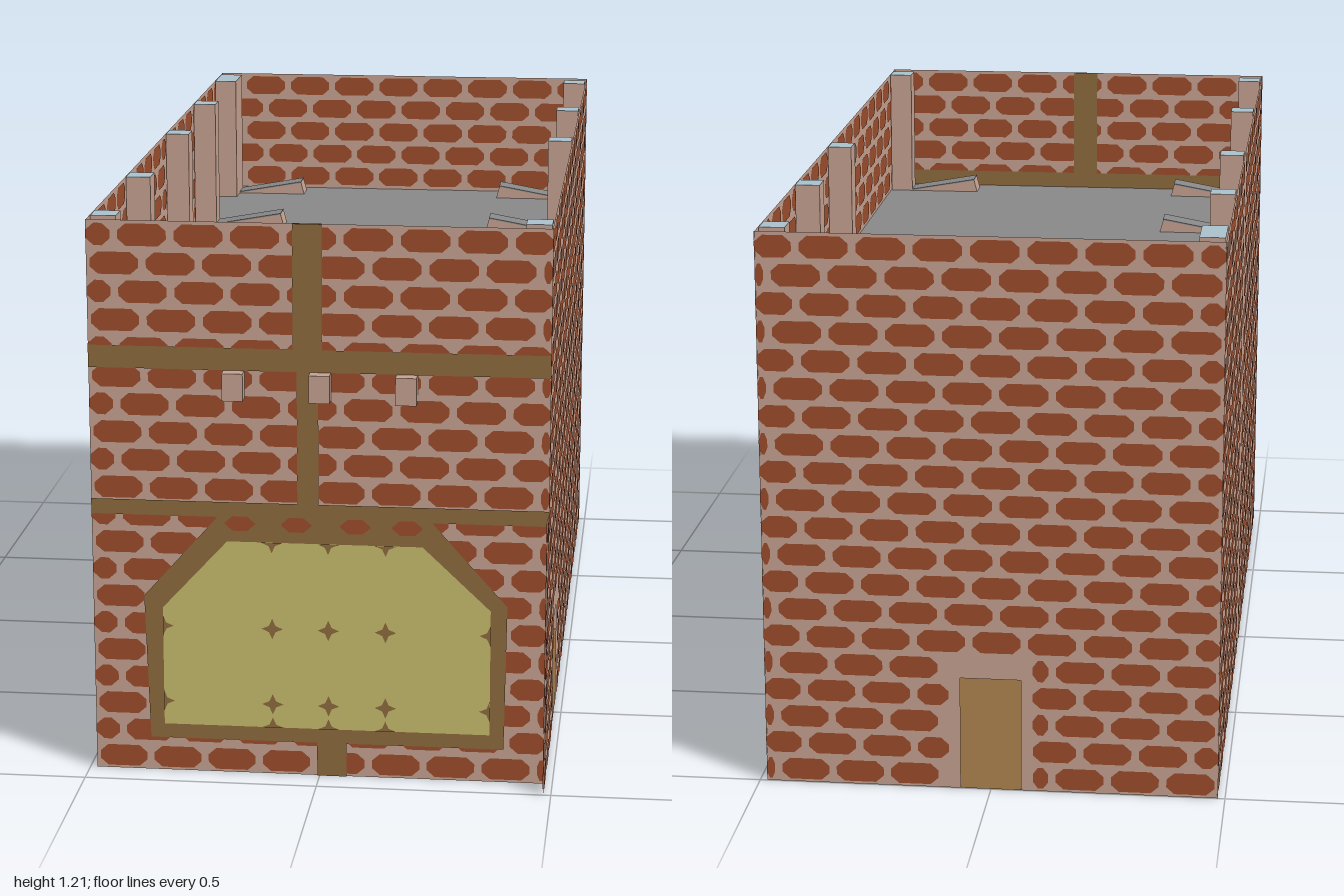
import * as THREE from 'three';
import { mergeGeometries } from 'three/addons/utils/BufferGeometryUtils.js';

const H = 1.21, X = 0.485, ZB = -1, ZF = 0.935;

function mat(name, color) {
  const m = new THREE.MeshStandardMaterial({ color, side: THREE.DoubleSide });
  m.name = name;
  return m;
}

const poly = pts => new THREE.Shape(pts.map(p => new THREE.Vector2(p[0], p[1])));
const rect = (u0, u1, v0, v1) => poly([[u0, v0], [u1, v0], [u1, v1], [u0, v1]]);

// Octagonal brick outline
function brick(u0, u1, v0, v1) {
  const c = Math.min(0.017, (u1 - u0) / 3), d = 0.015;
  return poly([[u0 + c, v0], [u1 - c, v0], [u1, v0 + d], [u1, v1 - d],
    [u1 - c, v1], [u0 + c, v1], [u0, v1 - d], [u0, v0 + d]]);
}

// Rows of bricks in running bond, trimmed around the gaps [u0, u1, v0, v1]
function brickShapes(uMin, uMax, gaps) {
  const shapes = [], rows = 20, ph = H / rows, pw = 0.118;
  for (let r = 0; r < rows; r++) {
    const v0 = r * ph + 0.006, v1 = (r + 1) * ph - 0.007;
    for (let u = uMin - (r % 2) * pw / 2; u < uMax; u += pw) {
      let parts = [[Math.max(u + 0.008, uMin), Math.min(u + pw - 0.008, uMax)]];
      for (const [g0, g1, h0, h1] of gaps) {
        if (v1 <= h0 || v0 >= h1) continue;
        parts = parts.flatMap(([a, b]) => (b <= g0 || a >= g1) ? [[a, b]] : [[a, g0], [g1, b]]);
      }
      for (const [a, b] of parts) if (b - a > 0.012) shapes.push(brick(a, b, v0, v1));
    }
  }
  return shapes;
}

export function createModel() {
  const model = new THREE.Group();
  model.name = 'brickBuilding';
  const M = {
    brick: mat('brick red', 0x9c4d2c),
    mortar: mat('mortar pink', 0xc4a190),
    brown: mat('timber brown', 0x8d6a3e),
    yellow: mat('door yellow', 0xc7bb6c),
    grey: mat('roof grey', 0x888888),
    blue: mat('cap blue', 0xa9c0cc),
  };

  const add = (parent, name, geometry, material) => {
    const mesh = new THREE.Mesh(geometry, material);
    mesh.name = name;
    parent.add(mesh);
    return mesh;
  };
  const box = (name, x0, x1, y0, y1, z0, z1, material) => {
    const g = new THREE.BoxGeometry(x1 - x0, y1 - y0, z1 - z0);
    g.translate((x0 + x1) / 2, (y0 + y1) / 2, (z0 + z1) / 2);
    return add(model, name, g, material);
  };
  // Flat shapes painted on both faces of a wall
  const paint = (parent, name, shapes, offset, material) => {
    const g = new THREE.ShapeGeometry(shapes);
    add(parent, name, mergeGeometries([g.clone().translate(0, 0, offset), g.translate(0, 0, -offset)]), material);
  };
  const wall = (name, outline, uMin, uMax, gaps) => {
    const group = new THREE.Group();
    group.name = name;
    add(group, name + 'Mortar', new THREE.ShapeGeometry(outline), M.mortar);
    paint(group, name + 'Bricks', brickShapes(uMin, uMax, gaps), 0.0015, M.brick);
    model.add(group);
    return group;
  };

  // Right-hand and left-hand long walls; one has a doorway and a low forward return
  const east = wall('leftWall', poly([[ZB, 0], [0.455, 0], [0.455, 0.25], [0.582, 0.25], [0.582, 0],
    [1, 0], [1, 0.605], [ZF, 0.605], [ZF, H], [ZB, H]]), ZB, 1,
    [[0.425, 0.61, 0, 0.27], [ZF, 1.01, 0.6, H]]);
  east.rotation.y = -Math.PI / 2;
  east.position.x = X - 0.0015;
  const west = wall('rightWall', rect(ZB, ZF, 0, H), ZB, ZF, [[-0.118, -0.067, 0, H]]);
  west.rotation.y = -Math.PI / 2;
  west.position.x = -X + 0.0015;

  // Back wall with doorway
  const back = wall('backWall', poly([[-X, 0], [-0.065, 0], [-0.065, 0.25], [0.065, 0.25], [0.065, 0],
    [X, 0], [X, H], [-X, H]]), -X, X, [[-0.09, 0.09, 0, 0.27]]);
  back.position.z = ZB + 0.0015;

  // Front wall with timber bands and the large door
  const front = wall('frontWall', rect(-X, X, 0, H), -X, X, []);
  front.position.z = ZF;
  paint(front, 'timberBands', [rect(-X, X, 0.895, 0.943), rect(-X, X, 0.575, 0.608),
    rect(-0.053, 0.008, 0.943, H), rect(-0.045, 0, 0.608, 0.895), rect(-0.005, 0.058, 0, 0.076)], 0.003, M.brown);
  paint(front, 'doorFrame', [poly([[-0.365, 0.075], [0.395, 0.075], [0.4, 0.395], [0.24, 0.575],
    [-0.215, 0.575], [-0.375, 0.395]])], 0.003, M.brown);
  paint(front, 'doorPanel', [poly([[-0.335, 0.107], [0.365, 0.107], [0.365, 0.385], [0.22, 0.522],
    [-0.195, 0.522], [-0.335, 0.37]])], 0.0045, M.yellow);
  paint(front, 'lintelBricks', [-0.165, -0.045, 0.08, 0.19].map(x => brick(x - 0.035, x + 0.03, 0.546, 0.578)),
    0.0045, M.brick);

  // Four-pointed studs, with half studs along the panel edge
  const studs = [];
  const stud = (x, y, half) => {
    const s = 0.023, t = 0.007;
    const pts = [[s, 0], [t, t], [0, s], [-t, t], [-s, 0], [-t, -t], [0, -s], [t, -t]];
    const keep = { left: p => p[0] >= 0, right: p => p[0] <= 0, top: p => p[1] <= 0, bottom: p => p[1] >= 0 }[half];
    studs.push(poly(pts.map(([a, b]) => keep && !keep([a, b])
      ? (half === 'left' || half === 'right' ? [x, y + b] : [x + a, y]) : [x + a, y + b])));
  };
  for (const y of [0.16, 0.33]) {
    for (const x of [-0.1, 0.02, 0.142]) stud(x, y);
    stud(-0.335, y, 'left');
    stud(0.365, y, 'right');
  }
  for (const x of [-0.1, 0.02, 0.142]) {
    stud(x, 0.522, 'top');
    stud(x, 0.107, 'bottom');
  }
  paint(front, 'doorStuds', studs, 0.006, M.brown);

  // Lamp blocks over the door
  for (const x of [-0.177, 0.005, 0.186])
    box('frontBlock', x - 0.022, x + 0.022, 0.836, 0.895, ZF, 0.967, M.mortar);

  // Ground slab and sunken roof deck
  const deckY = 0.905;
  for (const [name, y, m] of [['groundFloor', 0, M.brown], ['roofDeck', deckY, M.grey]]) {
    const g = new THREE.PlaneGeometry(2 * X - 0.004, ZF - ZB - 0.004).rotateX(-Math.PI / 2);
    add(model, name, g.translate(0, y, (ZF + ZB) / 2), m);
  }

  // Wall posts with pale caps, each with a brace tip rising through the deck
  const posts = { '-1': [[-0.965, -0.852], [-0.545, -0.49], [-0.12, -0.065], [0.42, 0.475], [0.845, 0.9]],
    '1': [[-0.965, -0.91], [-0.545, -0.49], [-0.12, -0.065], [0.845, 0.9]] };
  for (const side of [-1, 1]) {
    for (const [z0, z1] of posts[side]) {
      const xs = [side * 0.427, side * 0.481].sort((a, b) => a - b);
      box('wallPost', xs[0], xs[1], 0.003, H + 0.001, z0, z1,
        [M.mortar, M.mortar, M.blue, M.mortar, M.mortar, M.mortar]);
      const tip = [side * 0.263, deckY + 0.03], root = [side * 0.43, deckY], foot = [side * 0.255, deckY];
      const g = new THREE.ExtrudeGeometry(poly([root, foot, tip]), { depth: 0.06, bevelEnabled: false });
      add(model, 'braceTip', g.translate(0, 0, z0), M.mortar);
      const top = new THREE.ExtrudeGeometry(poly([root, tip, [tip[0], tip[1] + 0.003], [root[0], root[1] + 0.003]]),
        { depth: 0.06, bevelEnabled: false });
      add(model, 'braceTop', top.translate(0, 0, z0), M.grey);
    }
  }

  // Small slats showing through the deck
  for (const [z, d] of [[-0.1, 0.012], [-0.042, 0.02], [0.868, 0.012], [0.925, 0.015]])
    box('deckSlat', 0.28, 0.345, deckY - 0.004, deckY + 0.004, z - d / 2, z + d / 2, M.mortar);

  return model;
}
